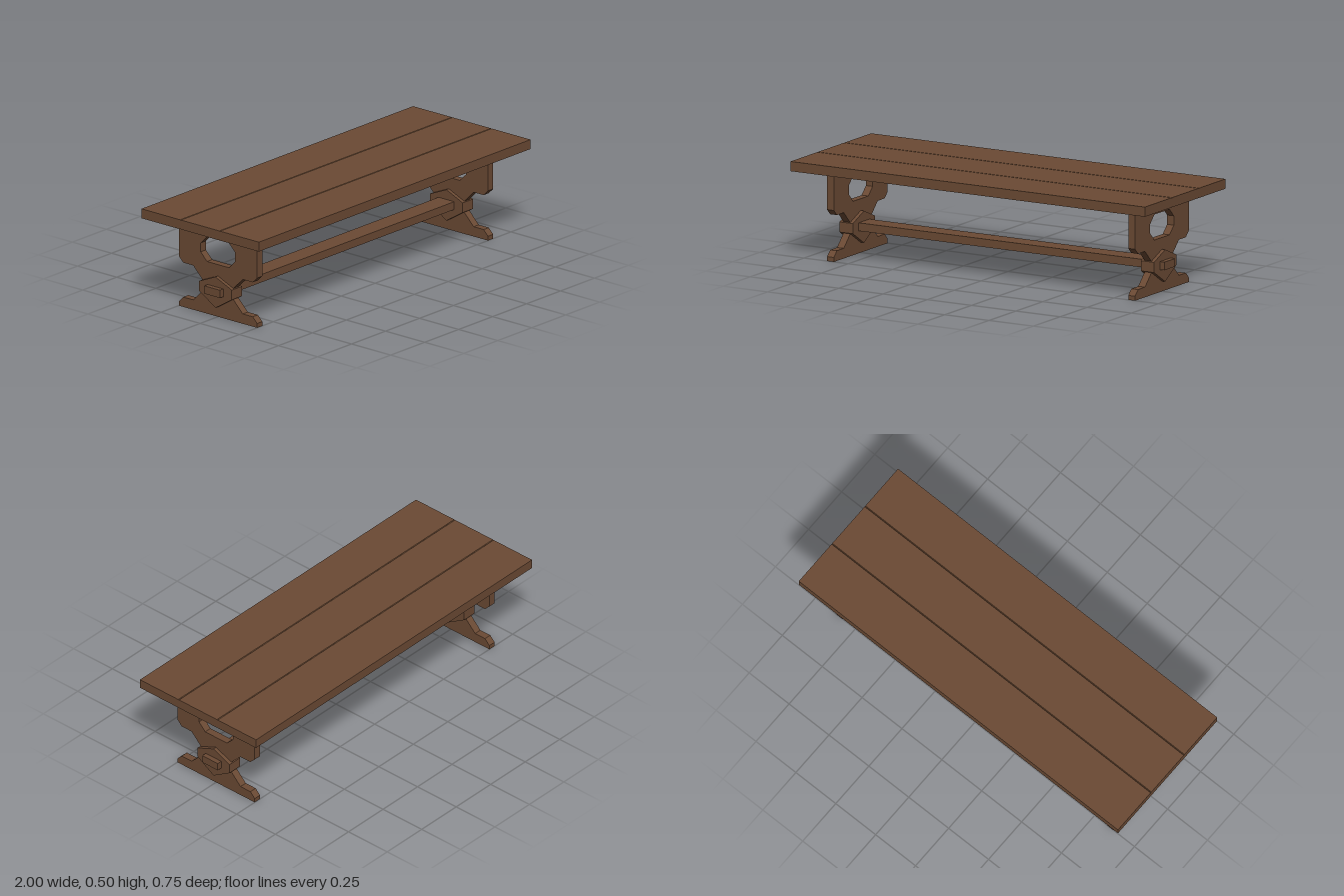
import * as THREE from 'three';

const wood = new THREE.MeshStandardMaterial({ color: 0x6b4a34 });
wood.name = 'brown wood';

const points = (list) => list.map(([a, b]) => new THREE.Vector2(a, b));

// Extrudes a (z, y) outline along x, centred on x = 0
function extrudeAlongX(name, outline, length, hole) {
  const shape = new THREE.Shape(points(outline));
  if (hole) shape.holes.push(new THREE.Path(points(hole)));
  const geometry = new THREE.ExtrudeGeometry(shape, { depth: length, bevelEnabled: false });
  geometry.translate(0, 0, -length / 2);
  geometry.rotateY(-Math.PI / 2);
  const mesh = new THREE.Mesh(geometry, wood);
  mesh.name = name;
  return mesh;
}

function beam(name, length, height, depth, y) {
  const mesh = new THREE.Mesh(new THREE.BoxGeometry(length, height, depth), wood);
  mesh.name = name;
  mesh.position.y = y;
  return mesh;
}

// Completes a half outline (z >= 0) with its mirror image
const mirrored = (half) => [
  ...half,
  ...half.filter(([z]) => z > 0).reverse().map(([z, y]) => [-z, y]),
];

export function createModel() {
  const table = new THREE.Group();
  table.name = 'trestleTable';

  // Top: three planks with small chamfers along the joints
  const bottom = 0.452, top = 0.5, c = 0.003;
  for (let i = -1; i <= 1; i++) {
    const z0 = i * 0.25 - 0.125, z1 = z0 + 0.25;
    const l = i > -1 ? c : 0, r = i < 1 ? c : 0;
    const outline = [];
    if (l) outline.push([z0, top - l], [z0, bottom + l]);
    outline.push([z0 + l, bottom], [z1 - r, bottom]);
    if (r) outline.push([z1, bottom + r], [z1, top - r]);
    outline.push([z1 - r, top], [z0 + l, top]);
    table.add(extrudeAlongX('topPlank', outline, 2, null));
  }

  // Trestle ends: panel with octagonal opening, and a collar round the waist
  const panel = mirrored([
    [0.25, 0], [0.25, 0.022], [0.222, 0.05], [0.158, 0.05], [0.07, 0.138],
    [0.158, 0.226], [0.222, 0.226], [0.25, 0.254], [0.25, 0.452],
  ]);
  const opening = [
    [0.11, 0.306], [0.11, 0.352], [0.07, 0.392], [-0.07, 0.392],
    [-0.11, 0.352], [-0.11, 0.306], [-0.07, 0.266], [0.07, 0.266],
  ];
  const collar = mirrored([[0, 0.05], [0.104, 0.114], [0.104, 0.164], [0, 0.208]]);
  for (const side of [-1, 1]) {
    const trestle = new THREE.Group();
    trestle.name = side > 0 ? 'leftTrestle' : 'rightTrestle';
    trestle.position.x = side * 0.85;
    trestle.add(extrudeAlongX('trestlePanel', panel, 0.038, opening));
    trestle.add(extrudeAlongX('trestleCollar', collar, 0.075, null));
    table.add(trestle);
  }

  // Long beams joining the trestles
  table.add(beam('stretcher', 1.826, 0.04, 0.1, 0.138));
  table.add(beam('underTopRail', 1.665, 0.037, 0.1, 0.4335));
  return table;
}
